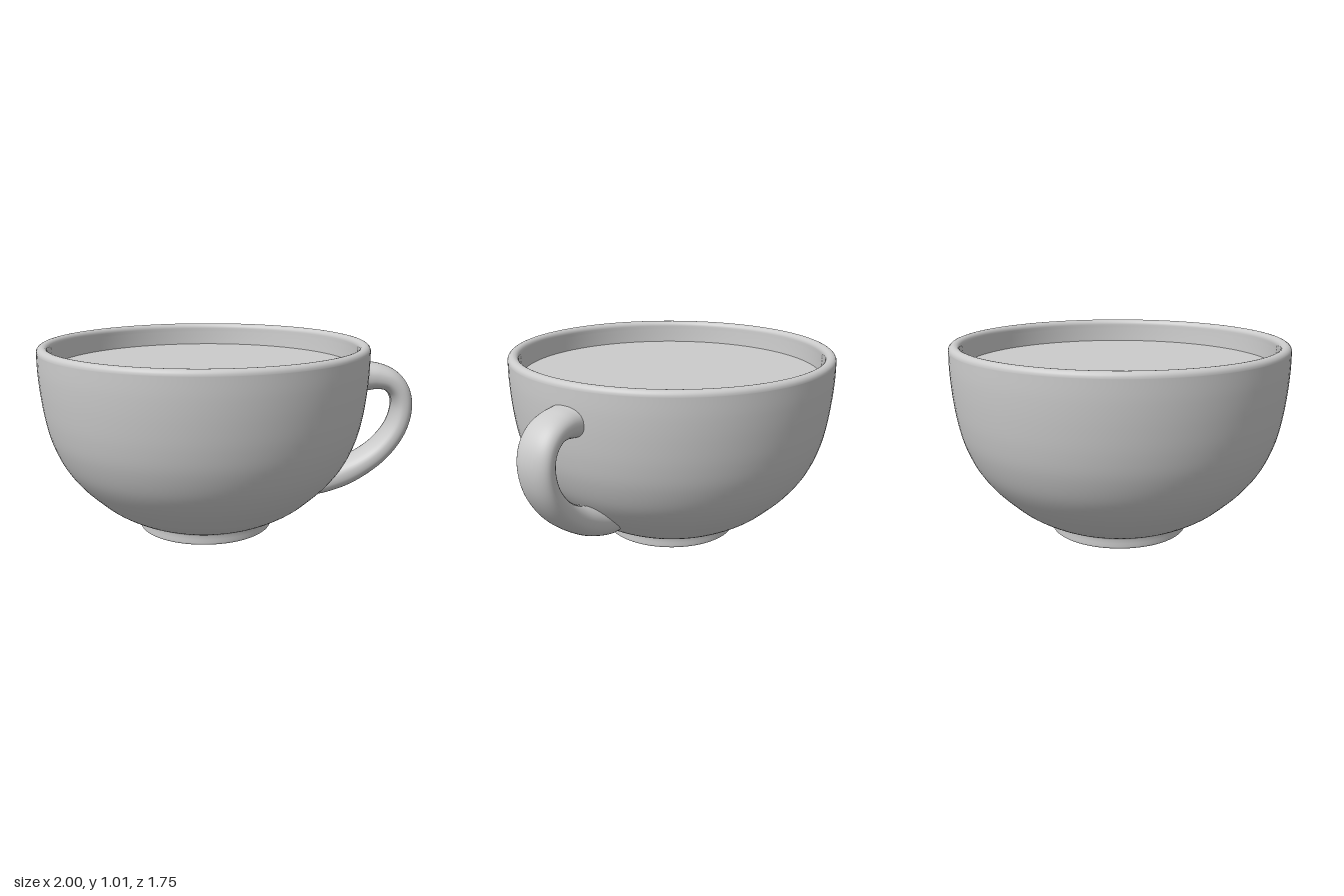
import * as THREE from 'three';

const material = new THREE.MeshStandardMaterial({ color: 0xcccccc });
const AXIS_X = -0.127; // centre line of the bowl
const v2 = (p) => new THREE.Vector2(p[0], p[1]);

function addMesh(group, name, geometry) {
  const mesh = new THREE.Mesh(geometry, material);
  mesh.name = name;
  group.add(mesh);
  return mesh;
}

// Quarter-round corner as profile points
function corner(cx, cy, r, from, to, steps = 6) {
  return Array.from({ length: steps + 1 }, (_, i) => {
    const a = from + ((to - from) * i) / steps;
    return [cx + r * Math.cos(a), cy + r * Math.sin(a)];
  });
}

// Sweep a rounded cross-section along a path in the xy plane.
// Each station is [x, y, half thickness, half width].
function sweep(stations, rows = 72, sides = 36) {
  const path = new THREE.CatmullRomCurve3(stations.map((s) => new THREE.Vector3(s[0], s[1], 0)));
  const size = new THREE.CatmullRomCurve3(stations.map((s) => new THREE.Vector3(s[2], s[3], 0)));
  const soft = (v) => Math.sign(v) * Math.abs(v) ** 0.86;
  const pos = [], idx = [];
  for (let i = 0; i <= rows; i++) {
    const c = path.getPoint(i / rows), t = path.getTangent(i / rows), s = size.getPoint(i / rows);
    for (let j = 0; j < sides; j++) {
      const a = (j / sides) * Math.PI * 2;
      const h = s.x * soft(Math.cos(a));
      pos.push(c.x - t.y * h, c.y + t.x * h, s.y * soft(Math.sin(a)));
      if (i === rows) continue;
      const k = (j + 1) % sides, p = i * sides, q = p + sides;
      idx.push(p + j, p + k, q + j, p + k, q + k, q + j);
    }
  }
  const g = new THREE.BufferGeometry();
  g.setAttribute('position', new THREE.Float32BufferAttribute(pos, 3));
  g.setIndex(idx);
  g.computeVertexNormals();
  return g;
}

export function createModel() {
  const group = new THREE.Group();
  group.name = 'cup';

  // Bowl: curved outer wall, rounded rim, inner wall down to the inside floor
  const outer = new THREE.SplineCurve([
    [0.36, 0.055], [0.45, 0.095], [0.54, 0.15], [0.61, 0.21], [0.69, 0.29], [0.762, 0.39],
    [0.815, 0.51], [0.845, 0.63], [0.863, 0.76], [0.872, 0.88], [0.873, 0.98],
  ].map(v2)).getPoints(60);
  const inner = new THREE.SplineCurve([
    [0.814, 0.97], [0.808, 0.88], [0.79, 0.7], [0.72, 0.45], [0.57, 0.25], [0.35, 0.13], [0, 0.1],
  ].map(v2)).getPoints(30);
  const rim = [
    ...corner(0.845, 0.982, 0.028, 0, Math.PI / 2),
    ...corner(0.842, 0.982, 0.028, Math.PI / 2, Math.PI),
  ].map(v2);
  const bowl = addMesh(group, 'bowl', new THREE.LatheGeometry([...outer, ...rim, ...inner], 96));
  bowl.position.x = AXIS_X;

  // Foot ring with a flat underside
  const foot = addMesh(group, 'foot', new THREE.LatheGeometry([
    [0, 0], [0.34, 0], [0.35, 0],
    ...corner(0.351, 0.012, 0.012, -Math.PI / 2, 0),
    [0.363, 0.03], [0.363, 0.05], [0.367, 0.06], [0.38, 0.068],
  ].map(v2), 96));
  foot.position.x = AXIS_X;

  // Drink surface just below the rim
  const drink = addMesh(group, 'drinkSurface', new THREE.CircleGeometry(0.812, 96));
  drink.rotation.x = -Math.PI / 2;
  drink.position.set(AXIS_X, 0.885, 0);

  // Handle: ear-shaped loop, flaring a little where it meets the bowl
  addMesh(group, 'handle', sweep([
    [0.68, 0.822, 0.088, 0.115],
    [0.745, 0.821, 0.077, 0.107],
    [0.8, 0.82, 0.07, 0.104],
    [0.87, 0.8, 0.061, 0.104],
    [0.924, 0.745, 0.056, 0.104],
    [0.946, 0.66, 0.054, 0.104],
    [0.921, 0.54, 0.056, 0.104],
    [0.84, 0.42, 0.061, 0.104],
    [0.735, 0.335, 0.067, 0.104],
    [0.62, 0.275, 0.073, 0.105],
    [0.5, 0.235, 0.072, 0.104],
    [0.4, 0.215, 0.06, 0.09],
  ]));

  return group;
}
